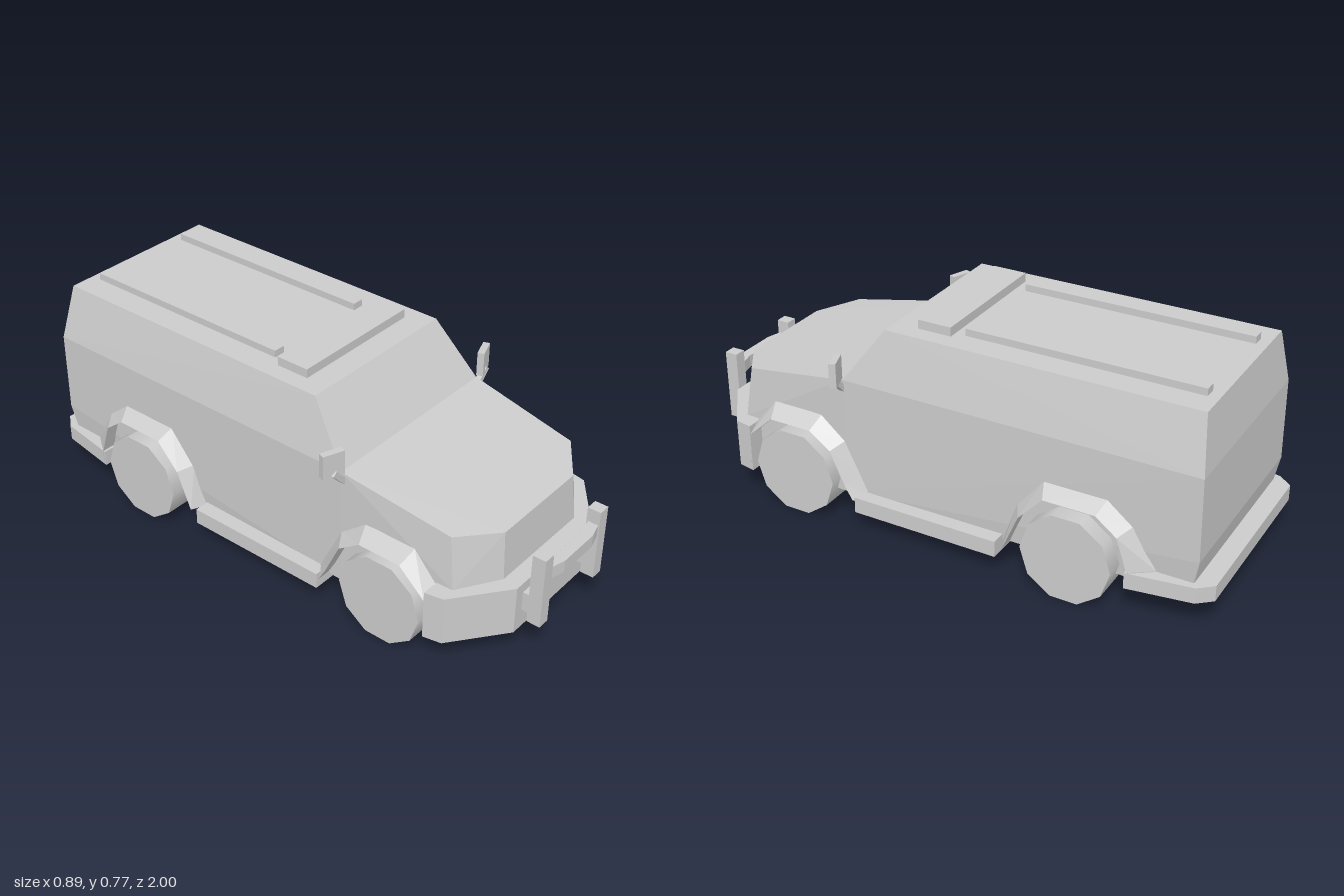
import * as THREE from 'three';
import { ConvexGeometry } from 'three/addons/geometries/ConvexGeometry.js';

const flat = new THREE.MeshStandardMaterial({ color: 0xcccccc, flatShading: true, side: THREE.DoubleSide });
const smooth = new THREE.MeshStandardMaterial({ color: 0xcccccc });

export function createModel() {
  const model = new THREE.Group();

  const add = (name, geometry, material = flat, parent = model) => {
    const mesh = new THREE.Mesh(geometry, material);
    mesh.name = name;
    parent.add(mesh);
    return mesh;
  };
  // Box given by its limits on each axis
  const block = (name, [x0, x1], [y0, y1], [z0, z1], parent = model) => {
    const mesh = add(name, new THREE.BoxGeometry(x1 - x0, y1 - y0, z1 - z0), flat, parent);
    mesh.position.set((x0 + x1) / 2, (y0 + y1) / 2, (z0 + z1) / 2);
    return mesh;
  };
  // Convex hull of points mirrored across x
  const hull = (name, points) => add(name, new ConvexGeometry(points.flatMap(([x, y, z]) =>
    [new THREE.Vector3(x, y, z), new THREE.Vector3(-x, y, z)])));
  // Horizontal slab from half of its plan outline (x, z)
  const slab = (name, half, y0, y1) => {
    const outline = [...half, ...half.map(([x, z]) => [-x, z]).reverse()];
    const shape = new THREE.Shape(outline.map(([x, z]) => new THREE.Vector2(x, z)));
    const geometry = new THREE.ExtrudeGeometry(shape, { depth: y1 - y0, bevelEnabled: false });
    geometry.rotateX(Math.PI / 2).translate(0, y1, 0);
    return add(name, geometry);
  };

  // Cabin with sloped windscreen and tapered upper sides
  hull('cabin', [
    [0.315, 0.74, 0.195], [0.315, 0.74, -0.92],
    [0.363, 0.542, 0.34], [0.365, 0.545, -0.945],
    [0.363, 0.11, 0.34], [0.363, 0.25, -0.95],
    [0.35, 0.165, -0.935], [0.35, 0.11, -0.92],
  ]);
  // Bonnet and faceted nose
  hull('bonnet', [
    [0.363, 0.542, 0.34], [0.363, 0.11, 0.34],
    [0.333, 0.471, 0.745], [0.192, 0.455, 0.845],
    [0.347, 0.285, 0.77], [0.203, 0.285, 0.86],
    [0.347, 0.11, 0.77], [0.203, 0.11, 0.86],
  ]);

  // Bumpers and running board
  slab('frontBumper', [[0.413, 0.71], [0.4, 0.775], [0.215, 0.918]], 0.11, 0.287);
  slab('rearBumper', [[0.413, -0.725], [0.378, -0.95], [0.335, -1]], 0.11, 0.167);
  block('runningBoard', [-0.413, 0.413], [0.072, 0.13], [-0.267, 0.278]);

  // Roof light bar
  block('lightBar', [-0.253, 0.253], [0.735, 0.772], [-0.015, 0.108]);

  // Arch outlines (z, y): where the flare meets the body, and its outer lip
  const arches = {
    front: {
      base: [[0.74, 0.115], [0.73, 0.27], [0.63, 0.383], [0.437, 0.383], [0.34, 0.31], [0.28, 0.19], [0.243, 0.115]],
      lip: [[0.715, 0.115], [0.71, 0.255], [0.613, 0.342], [0.453, 0.342], [0.372, 0.285], [0.318, 0.17], [0.287, 0.115]],
    },
    rear: {
      base: [[-0.27, 0.115], [-0.32, 0.265], [-0.415, 0.383], [-0.64, 0.383], [-0.73, 0.31], [-0.81, 0.17], [-0.81, 0.115]],
      lip: [[-0.295, 0.115], [-0.352, 0.25], [-0.437, 0.342], [-0.62, 0.342], [-0.695, 0.285], [-0.733, 0.17], [-0.735, 0.115]],
    },
  };
  // Outer bevel plus the return strip back to the body
  const flareGeometry = ({ base, lip }, s) => {
    const rows = [[base, 0.358], [lip, 0.413], [lip, 0.355]];
    const n = base.length, positions = [], index = [];
    for (const [row, x] of rows) for (const [z, y] of row) positions.push(s * x, y, z);
    for (let r = 0; r < 2; r++) for (let i = 0; i < n - 1; i++) {
      const a = r * n + i, b = a + 1, c = a + n, d = c + 1;
      if (s > 0) index.push(a, b, c, b, d, c);
      else index.push(a, c, b, b, c, d);
    }
    const geometry = new THREE.BufferGeometry();
    geometry.setAttribute('position', new THREE.Float32BufferAttribute(positions, 3));
    geometry.setIndex(index);
    const faceted = geometry.toNonIndexed();
    faceted.computeVertexNormals();
    return faceted;
  };

  for (const s of [1, -1]) {
    const side = s > 0 ? 'left' : 'right';

    // Wheels and arch flares
    for (const [end, z, outer] of [['Front', 0.53, 0.408], ['Rear', -0.525, 0.425]]) {
      const wheel = add(`${side}${end}Wheel`,
        new THREE.CylinderGeometry(0.16, 0.16, outer - 0.295, 10).rotateZ(Math.PI / 2), smooth);
      wheel.position.set(s * (outer + 0.295) / 2, 0.153, z);
      add(`${side}${end}ArchFlare`, flareGeometry(arches[end.toLowerCase()], s));
    }

    // Roof rail
    const rail = block(`${side}RoofRail`, [-0.021, 0.021], [0.735, 0.765], [-0.882, -0.053]);
    rail.position.x = s * 0.202;

    // Door mirror: angled head on a slanted strut
    const mirror = new THREE.Group();
    mirror.name = `${side}Mirror`;
    const head = add('mirrorHead', new THREE.BoxGeometry(0.078, 0.088, 0.024), flat, mirror);
    head.position.set(s * 0.403, 0.594, 0.337);
    head.rotation.y = s * 0.36;
    const strut = add('mirrorStrut', new THREE.BoxGeometry(0.02, 0.1, 0.02), flat, mirror);
    strut.position.set(s * 0.375, 0.528, 0.345);
    strut.rotation.z = -s * 0.75;
    model.add(mirror);

    // Bull bar post and its bracket
    const x = [s * 0.157 - 0.022, s * 0.157 + 0.022];
    block(`${side}BullBarPost`, x, [0.145, 0.407], [0.94, 0.988]);
    block(`${side}BullBarBracket`, x, [0.18, 0.25], [0.9, 0.95]);
  }

  // Bowed cross bar between the posts
  const bow = [[0.14, 0.982], [0.08, 0.998]];
  const inner = [[0.08, 0.96], [0.14, 0.945]];
  const ring = [...bow, ...bow.map(([x, z]) => [-x, z]).reverse(),
    ...inner.map(([x, z]) => [-x, z]), ...inner.slice().reverse().map(([x, z]) => [x, z])];
  // Rear edge runs from right to left, back to the start
  ring.splice(4, 4, [-0.14, 0.945], [-0.08, 0.96], [0.08, 0.96], [0.14, 0.945]);
  const barShape = new THREE.Shape(ring.map(([x, z]) => new THREE.Vector2(x, z)));
  add('bullBarCrossBar', new THREE.ExtrudeGeometry(barShape, { depth: 0.045, bevelEnabled: false })
    .rotateX(Math.PI / 2).translate(0, 0.356, 0));

  return model;
}
